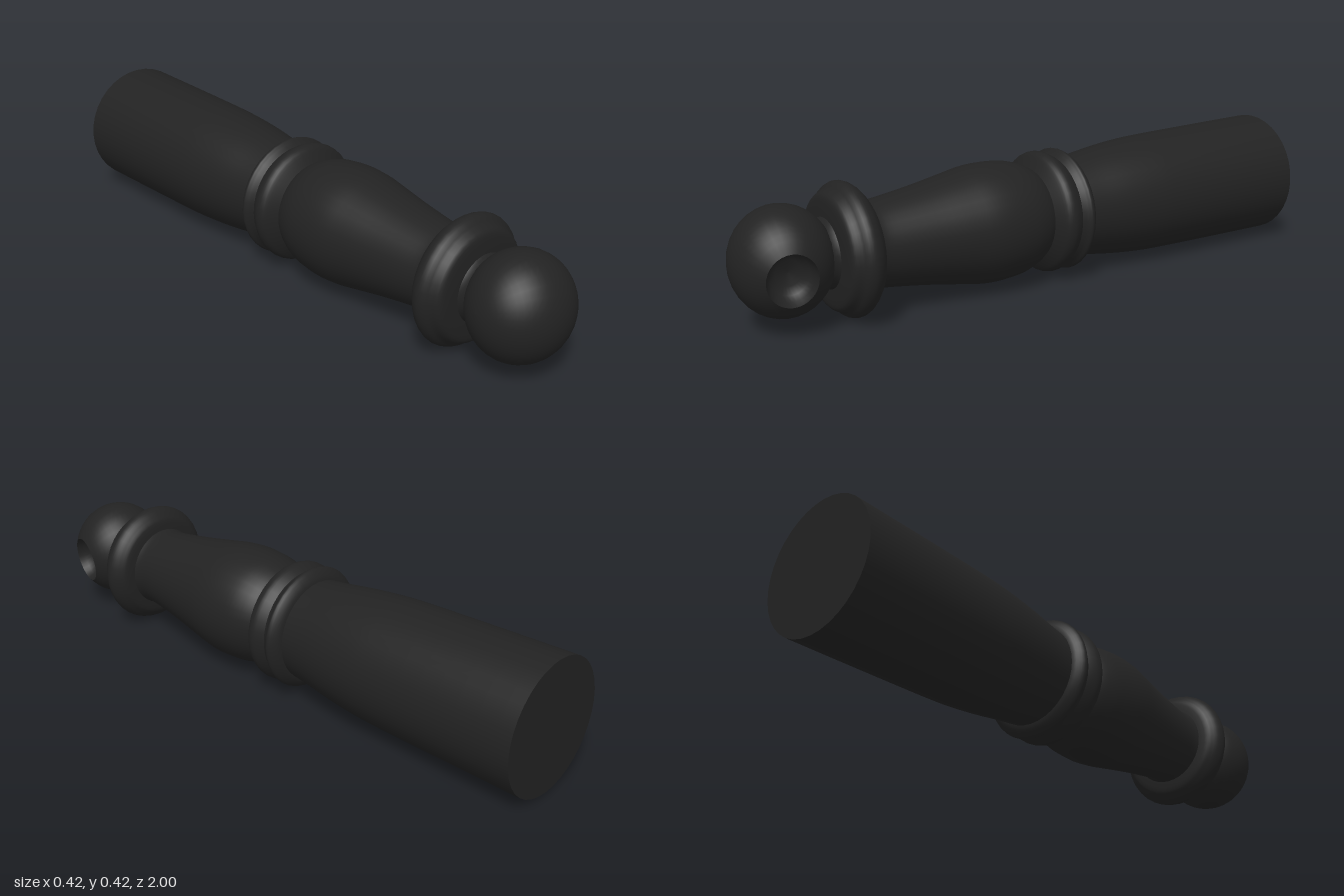
import * as THREE from 'three';

const blackPaint = new THREE.MeshStandardMaterial({ color: 0x222222 });
blackPaint.name = 'blackPaint';

const v2 = ([a, r]) => new THREE.Vector2(r, a);

// Turned section along z from [z, radius] pairs, rear to front, following the slightly sloping axis
function turned(name, profile, smooth = 0) {
  let pts = profile.map(v2);
  if (smooth) pts = new THREE.SplineCurve(pts).getPoints(smooth);
  const geo = new THREE.LatheGeometry(pts, 36).rotateX(Math.PI / 2);
  const p = geo.attributes.position;
  for (let i = 0; i < p.count; i++) {
    const z = p.getZ(i);
    p.setX(i, p.getX(i) + 0.002 + 0.004 * z);
    p.setY(i, p.getY(i) + 0.212 - 0.005 * z);
  }
  const mesh = new THREE.Mesh(geo, blackPaint);
  mesh.name = name;
  return mesh;
}

// Ball with a round blind hole in its side
function makeKnob() {
  const knob = new THREE.Group();
  knob.name = 'knob';
  const R = 0.163, rimAngle = 0.51, ball = [];
  for (let i = 0; i <= 22; i++) {
    const t = -Math.PI / 2 + (i / 22) * (Math.PI - rimAngle);
    ball.push([R * Math.sin(t), Math.max(0, R * Math.cos(t))]);
  }
  const rim = ball[ball.length - 1];
  const hole = [rim, [0.12, 0.073], [0.1, 0.062], [0.085, 0.04], [0.08, 0]];
  const turn = new THREE.Quaternion().setFromUnitVectors(
    new THREE.Vector3(0, 1, 0), new THREE.Vector3(0.15, -0.02, 0.03).normalize());
  for (const [name, profile] of [['knobBall', ball], ['knobHole', hole]]) {
    const mesh = new THREE.Mesh(new THREE.LatheGeometry(profile.map(v2), 32), blackPaint);
    mesh.name = name;
    mesh.quaternion.copy(turn);
    knob.add(mesh);
  }
  knob.position.set(0.005, 0.21, 0.85);
  knob.scale.set(0.985, 1.01, 0.92);
  return knob;
}

export function createModel() {
  const model = new THREE.Group();
  model.name = 'turnedHandle';
  model.add(
    turned('endCap', [[-1, 0], [-1, 0.208]]),
    turned('shaft', [[-1, 0.208], [-0.75, 0.204], [-0.5, 0.199], [-0.4, 0.194],
      [-0.3, 0.184], [-0.2, 0.17], [-0.14, 0.163]], 24),
    // Double ring at the middle
    turned('rearRing', [[-0.145, 0.16], [-0.14, 0.176], [-0.125, 0.194], [-0.112, 0.199],
      [-0.1, 0.189], [-0.085, 0.181]], 14),
    turned('frontRing', [[-0.085, 0.181], [-0.07, 0.19], [-0.05, 0.198], [-0.03, 0.193],
      [-0.017, 0.178], [0, 0.15]], 14),
    turned('grip', [[0, 0.15], [0.03, 0.167], [0.08, 0.183], [0.15, 0.19], [0.22, 0.187],
      [0.3, 0.173], [0.4, 0.155], [0.5, 0.14], [0.57, 0.132], [0.6, 0.135]], 32),
    // Collar and neck below the knob
    turned('collar', [[0.598, 0.13], [0.603, 0.165], [0.615, 0.182], [0.63, 0.196], [0.65, 0.204],
      [0.67, 0.198], [0.685, 0.184], [0.705, 0.172], [0.713, 0.15], [0.716, 0.1]], 24),
    turned('neck', [[0.7, 0.115], [0.72, 0.105], [0.745, 0.104], [0.77, 0.108]], 8),
    makeKnob(),
  );
  return model;
}
